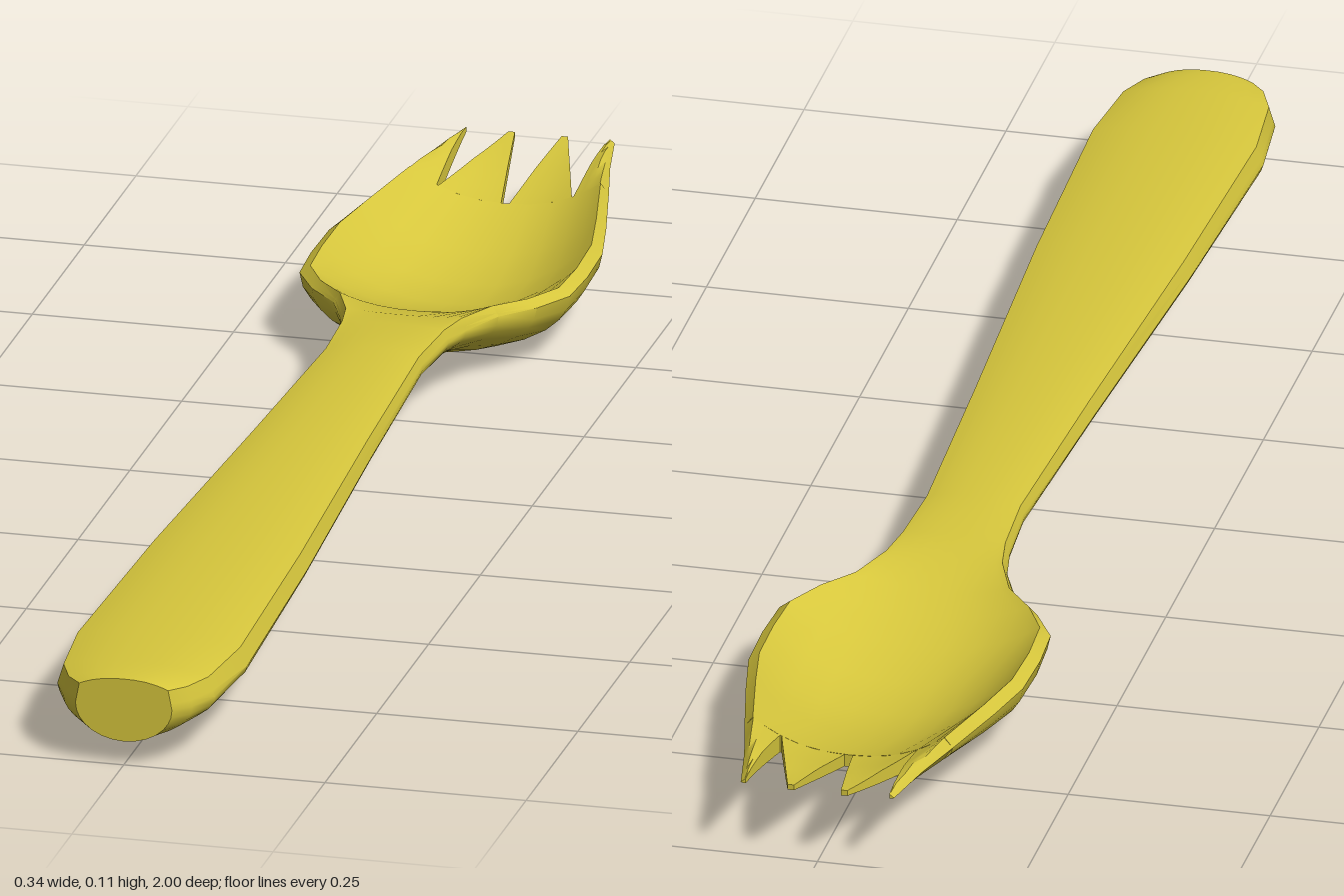
import * as THREE from 'three';
import { toCreasedNormals } from 'three/addons/utils/BufferGeometryUtils.js';

// Stations along the length: z, half width, centre top, rim top, side edge, underside
const STATIONS = [
  [1.0, 0.06, 0.11, 0.1, 0.075, 0.03],
  [0.98, 0.08, 0.112, 0.1, 0.075, 0.031],
  [0.94, 0.098, 0.112, 0.1, 0.075, 0.034],
  [0.83, 0.11, 0.112, 0.1, 0.077, 0.04],
  [0.5, 0.099, 0.112, 0.102, 0.081, 0.053],
  [0.1, 0.077, 0.111, 0.103, 0.084, 0.061],
  [-0.2, 0.063, 0.11, 0.103, 0.087, 0.062],
  [-0.3, 0.069, 0.105, 0.102, 0.086, 0.055],
  [-0.35, 0.078, 0.098, 0.1, 0.085, 0.046],
  [-0.41, 0.103, 0.082, 0.097, 0.084, 0.03],
  [-0.45, 0.14, 0.067, 0.095, 0.084, 0.016],
  [-0.5, 0.168, 0.05, 0.094, 0.084, 0.003],
  [-0.57, 0.172, 0.034, 0.094, 0.084, 0.0],
  [-0.65, 0.17, 0.03, 0.096, 0.085, 0.005],
  [-0.73, 0.154, 0.04, 0.099, 0.087, 0.023],
  [-0.84, 0.129, 0.067, 0.104, 0.091, 0.051],
  [-0.92, 0.11, 0.085, 0.106, 0.094, 0.071],
  [-1.0, 0.095, 0.099, 0.102, 0.096, 0.092],
];
const TINE_START = -0.84;
const RIM = 0.92;

function stationAt(z) {
  let i = 0;
  while (i < STATIONS.length - 2 && z < STATIONS[i + 1][0]) i++;
  const a = STATIONS[i], b = STATIONS[i + 1];
  const t = (z - a[0]) / (b[0] - a[0]);
  return a.map((v, k) => THREE.MathUtils.lerp(v, b[k], t));
}

// Height of the upper and lower skins at a fraction u of the half width
function topY([, , centre, rim, edge], u) {
  const r = Math.min(Math.abs(u), 1);
  if (r > RIM) return THREE.MathUtils.lerp(rim, edge, (r - RIM) / (1 - RIM));
  return rim + (centre - rim) * (1 - Math.pow(r / RIM, 2.4));
}
function bottomY([, , , , edge, under], u) {
  return edge - (edge - under) * Math.sqrt(Math.max(0, 1 - u * u));
}

// Closed ring at z: upper skin from +x to -x, then lower skin back again
function ring(s, xs) {
  const top = xs.map((x) => [x, topY(s, x / s[1]), s[0]]);
  const low = xs.map((x) => [x, bottomY(s, x / s[1]), s[0]]);
  return [...top, ...low.reverse()];
}

// Skin the rings (ordered from +z to -z) and close both ends
function loft(rings) {
  const n = rings[0].length, index = [], last = (rings.length - 1) * n;
  for (let i = 0; i < rings.length - 1; i++) {
    for (let j = 0; j < n; j++) {
      const a = i * n + j, b = i * n + ((j + 1) % n);
      index.push(a, a + n, b, b, a + n, b + n);
    }
  }
  for (let j = 0; j < n / 2 - 1; j++) {
    const a = j, b = j + 1, c = n - 1 - j, d = n - 2 - j;
    index.push(a, b, c, b, d, c);
    index.push(last + a, last + c, last + b, last + b, last + c, last + d);
  }
  const g = new THREE.BufferGeometry();
  g.setAttribute('position', new THREE.Float32BufferAttribute(rings.flat(2), 3));
  g.setIndex(index);
  return toCreasedNormals(g, THREE.MathUtils.degToRad(38));
}

export function createModel() {
  const group = new THREE.Group();
  group.name = 'spork';
  const yellow = new THREE.MeshStandardMaterial({ color: 0xd6c63c });
  yellow.name = 'mustard yellow';
  const add = (name, geometry) => {
    const mesh = new THREE.Mesh(geometry, yellow);
    mesh.name = name;
    group.add(mesh);
  };

  // Handle and bowl in one smooth skin
  const half = [1, 0.975, RIM, 0.82, 0.66, 0.46, 0.23];
  const us = [...half, 0, ...half.map((u) => -u).reverse()];
  const body = STATIONS.filter((s) => s[0] >= TINE_START);
  add('handleAndBowl', loft(body.map((s) => ring(s, us.map((u) => u * s[1])))));

  // Four tapering tines: inner and outer edge as functions of t and half width
  const tines = {
    outerTine: [(t) => 0.085 + 0.004 * t, (t, w) => w],
    innerTine: [(t) => 0.005 + 0.024 * t, (t) => 0.083 - 0.046 * t],
  };
  for (const [name, [inner, outer]] of Object.entries(tines)) {
    for (const side of [1, -1]) {
      const rings = [];
      for (let i = 0; i <= 6; i++) {
        const t = i / 6;
        const s = stationAt(THREE.MathUtils.lerp(TINE_START, -1, t));
        const a = inner(t), b = outer(t, s[1]);
        const xs = [0, 0.25, 0.5, 0.75, 0.9, 1].map((k) => side * THREE.MathUtils.lerp(b, a, k));
        rings.push(ring(s, side > 0 ? xs : xs.reverse()));
      }
      add(side > 0 ? name + 'Left' : name + 'Right', loft(rings));
    }
  }
  return group;
}
